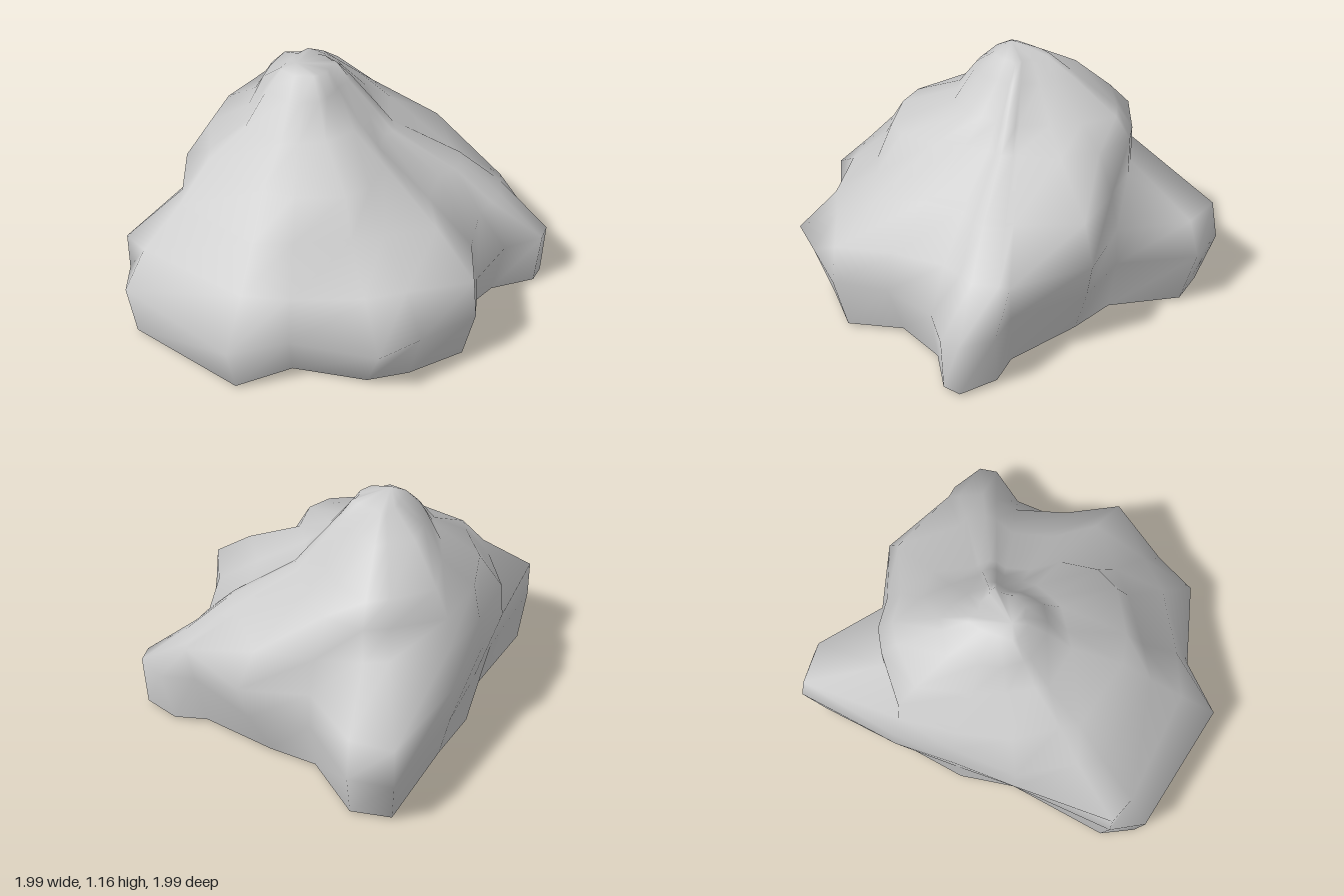
import * as THREE from 'three';

// Widest outline of the mound, [x, z], running from the +x knob round through +z
const outline = [
  [0.91, -0.05], [0.985, 0.1], [0.95, 0.18], [0.79, 0.26], [0.64, 0.5], [0.56, 0.73], [0.3, 0.88],
  [0.11, 0.99], [-0.27, 0.87], [-0.54, 0.93], [-1, 0.47], [-0.99, 0.3], [-0.74, -0.1], [-0.57, -0.36],
  [-0.38, -0.65], [-0.02, -1], [0.17, -0.91], [0.3, -0.57], [0.58, -0.44], [0.78, -0.1],
];
const peak = [-0.16, -0.06];

// Height and reach of each contour, as a share of the way from the peak to the outline
const contours = [
  { y: 0.015, reach: [0.95, 0.99, 0.98, 0.92, 0.86, 0.94, 0.92, 0.86, 0.87, 0.92, 0.96, 0.95, 0.79, 0.88, 0.8, 0.91, 0.92, 0.88, 0.8, 0.92] },
  { y: 0.27, reach: [1, 1, 1, 0.97, 0.95, 1, 1, 1, 1, 1, 1, 1, 0.91, 0.92, 0.92, 1, 1, 0.94, 0.94, 0.97] },
  { y: 0.45, reach: [0.87, 0.8, 0.78, 0.84, 0.91, 0.98, 0.88, 0.83, 0.92, 0.83, 0.89, 1, 0.99, 0.98, 0.93, 0.97, 0.95, 0.93, 1, 1] },
  { y: 0.62, reach: [0.68, 0.63, 0.62, 0.64, 0.68, 0.77, 0.69, 0.64, 0.73, 0.68, 0.69, 0.69, 0.97, 0.95, 0.85, 0.55, 0.6, 0.87, 0.89, 0.74] },
  { y: 0.8, reach: [0.38, 0.36, 0.36, 0.38, 0.41, 0.47, 0.57, 0.57, 0.63, 0.54, 0.53, 0.53, 0.77, 0.88, 0.83, 0.55, 0.6, 0.74, 0.56, 0.42] },
  { y: 0.9, reach: [0.31, 0.29, 0.29, 0.3, 0.3, 0.29, 0.3, 0.3, 0.34, 0.32, 0.33, 0.32, 0.45, 0.56, 0.68, 0.47, 0.52, 0.57, 0.4, 0.33] },
  { y: 1.05, reach: [0.2, 0.18, 0.18, 0.19, 0.18, 0.18, 0.2, 0.21, 0.24, 0.21, 0.21, 0.22, 0.33, 0.38, 0.4, 0.25, 0.28, 0.32, 0.24, 0.2] },
  { y: 1.13, reach: outline.map(() => 0.13) },
];

function contourPoints({ y, reach }) {
  return outline.map(([x, z], i) => [
    peak[0] + (x - peak[0]) * reach[i], y, peak[1] + (z - peak[1]) * reach[i],
  ]);
}

function surface(points, index) {
  const geometry = new THREE.BufferGeometry();
  geometry.setAttribute('position', new THREE.Float32BufferAttribute(points.flat(), 3));
  geometry.setIndex(index);
  geometry.computeVertexNormals();
  return geometry;
}

export function createModel() {
  const group = new THREE.Group();
  group.name = 'rockMound';
  const material = new THREE.MeshStandardMaterial({ color: 0xcccccc });
  const add = (name, geometry) => {
    const mesh = new THREE.Mesh(geometry, material);
    mesh.name = name;
    group.add(mesh);
  };
  const n = outline.length;

  // Rock body: contours joined into one smooth skin, closed at the summit
  const points = contours.flatMap(contourPoints);
  const summit = points.push([-0.2, 1.16, 0]) - 1;
  const index = [];
  contours.forEach((_, level) => {
    for (let i = 0; i < n; i++) {
      const j = (i + 1) % n;
      const a = level * n + i, b = level * n + j;
      if (level === contours.length - 1) index.push(a, summit, b);
      else index.push(a, a + n, b, b, a + n, b + n);
    }
  });
  add('rockBody', surface(points, index));

  // Flat underside, dipping slightly at its middle
  const base = contourPoints(contours[0]);
  const middle = base.push([0, 0, 0]) - 1;
  const baseIndex = [];
  for (let i = 0; i < n; i++) baseIndex.push(middle, i, (i + 1) % n);
  add('underside', surface(base, baseIndex));

  return group;
}
